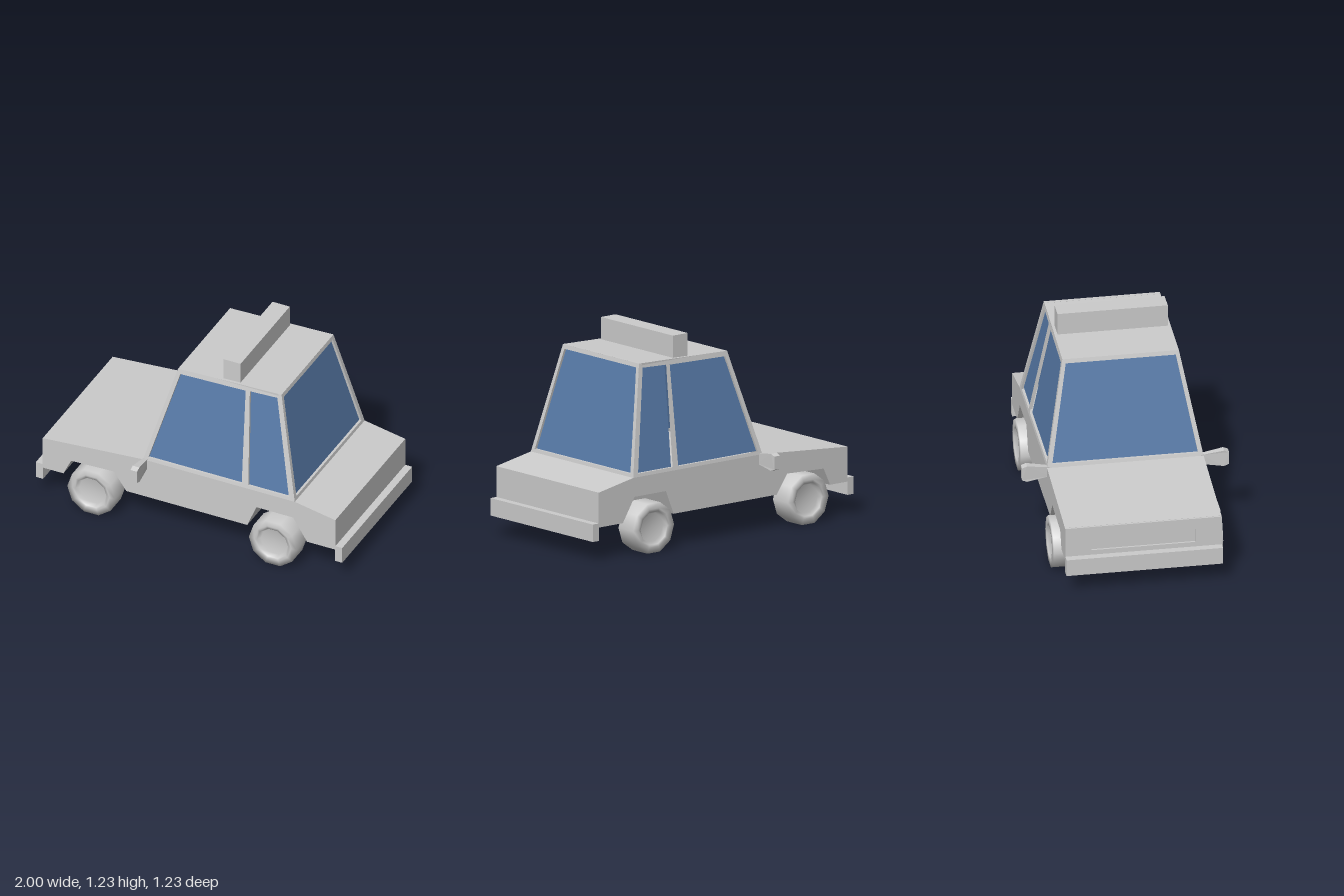
import * as THREE from 'three';

const grey = new THREE.MeshStandardMaterial({ color: 0xcccccc });
const wheelGrey = new THREE.MeshStandardMaterial({ color: 0xcccccc, side: THREE.DoubleSide });
const blue = new THREE.MeshStandardMaterial({ color: 0x577aa8 });

const toShape = (pts) => new THREE.Shape(pts.map(([x, y]) => new THREE.Vector2(x, y)));

function extrude(pts, depth, holes = []) {
  const shape = toShape(pts);
  shape.holes = holes.map(toShape);
  return new THREE.ExtrudeGeometry(shape, { depth, bevelEnabled: false });
}

export function createModel() {
  const car = new THREE.Group();
  const add = (name, geometry, material = grey, parent = car) => {
    const mesh = new THREE.Mesh(geometry, material);
    mesh.name = name;
    parent.add(mesh);
    return mesh;
  };
  const box = (name, w, h, d, x, y, z) =>
    add(name, new THREE.BoxGeometry(w, h, d)).position.set(x, y, z);

  // Lower body with wheel arches running across the full width
  const half = 0.465;
  const body = extrude([
    [-0.943, 0.2], [-0.82, 0.2], [-0.77, 0.305], [-0.49, 0.315], [-0.41, 0.2],
    [0.38, 0.2], [0.44, 0.345], [0.68, 0.345], [0.77, 0.2], [0.955, 0.2],
    [0.955, 0.41], [0.69, 0.46], [-0.3, 0.46], [-0.943, 0.411],
  ], half * 2);
  body.translate(0, 0, -half);
  add('body', body);

  // Nose plate with the shallow grille recess
  const nose = extrude(
    [[-half, 0.2], [half, 0.2], [half, 0.41], [-half, 0.41]], 0.012,
    [[[-0.31, 0.255], [0.31, 0.255], [0.31, 0.34], [-0.31, 0.34]]]);
  nose.rotateY(-Math.PI / 2).translate(-0.943, 0, 0);
  add('nosePlate', nose);

  // Bumpers
  for (const s of [-1, 1]) {
    box(s < 0 ? 'frontBumper' : 'rearBumper', 0.047, 0.105, half * 2, s * 0.9765, 0.1725, 0);
  }

  // Cabin wall: framed openings leaning inwards, with glass set back in each
  function wall(name, outline, windows, distance, slope, angle) {
    const group = new THREE.Group();
    group.name = name;
    car.add(group);
    const place = (geometry, back) => {
      const p = geometry.attributes.position;
      for (let i = 0; i < p.count; i++) {
        p.setZ(i, p.getZ(i) + distance - back - (p.getY(i) - 0.46) * slope);
      }
      geometry.rotateY(angle);
      geometry.computeVertexNormals();
      return geometry;
    };
    add('frame', place(extrude(outline, 0.022, windows), 0.022), grey, group);
    for (const w of windows) add('glass', place(extrude(w, 0.005), 0.02), blue, group);
  }

  // Side walls, each with a front and a rear window
  const side = [[-0.3, 0.46], [0.69, 0.46], [0.545, 1.105], [-0.13, 1.085]];
  const sideWindows = [
    [[-0.268, 0.48], [0.342, 0.48], [0.313, 1.066], [-0.112, 1.056]],
    [[0.385, 0.48], [0.65, 0.48], [0.519, 1.077], [0.34, 1.07]],
  ];
  const mirror = (pts) => pts.map(([x, y]) => [-x, y]);
  wall('leftWall', side, sideWindows, half, 0.19, 0);
  wall('rightWall', mirror(side), sideWindows.map(mirror), half, 0.19, Math.PI);

  // Windscreen and rear window
  const end = (top) => [[-half, 0.46], [half, 0.46], [0.345, top], [-0.345, top]];
  const endWindow = (top) => [[-0.433, 0.48], [0.433, 0.48], [0.327, top], [-0.327, top]];
  wall('windscreen', end(1.085), [endWindow(1.06)], 0.3, 0.272, -Math.PI / 2);
  wall('rearWindow', end(1.105), [endWindow(1.08)], 0.69, 0.225, Math.PI / 2);

  // Roof and roof sign
  const roof = extrude([[-0.13, 1.085], [-0.127, 1.07], [0.542, 1.09], [0.545, 1.105]], 0.69);
  roof.translate(0, 0, -0.345);
  add('roof', roof);
  box('roofSign', 0.113, 0.145, 0.655, 0.2125, 1.1575, 0);

  // Door mirrors: a thin stalk flaring into the mirror housing
  for (const s of [-1, 1]) {
    const housing = extrude([
      [0.45, 0.405], [0.585, 0.384], [0.615, 0.396],
      [0.615, 0.475], [0.585, 0.487], [0.45, 0.465],
    ].map(([z, y]) => [-s * z, y]), 0.044);
    const p = housing.attributes.position;
    for (let i = 0; i < p.count; i++) {
      if (Math.abs(p.getX(i)) < 0.5) p.setZ(i, 0.022 + (p.getZ(i) - 0.022) * 0.6);
    }
    housing.rotateY(Math.PI / 2).translate(-0.309, 0, 0);
    housing.computeVertexNormals();
    add(s > 0 ? 'leftMirror' : 'rightMirror', housing);
  }

  // Wheels: ten-sided tyres, open on the inner side, with a recessed hub
  const profile = [[0, 0.045], [0.088, 0.045], [0.103, 0.07], [0.12, 0.07], [0.156, 0.068], [0.156, -0.068]]
    .map(([r, h]) => new THREE.Vector2(r, h));
  const tyre = new THREE.LatheGeometry(profile, 10, Math.PI / 2);
  tyre.rotateX(Math.PI / 2);
  for (const x of [-0.62, 0.565]) {
    for (const s of [-1, 1]) {
      const wheel = add((x < 0 ? 'front' : 'rear') + 'Wheel', tyre, wheelGrey);
      wheel.position.set(x, 0.1484, s * 0.435);
      if (s < 0) wheel.rotation.y = Math.PI;
    }
  }

  return car;
}
